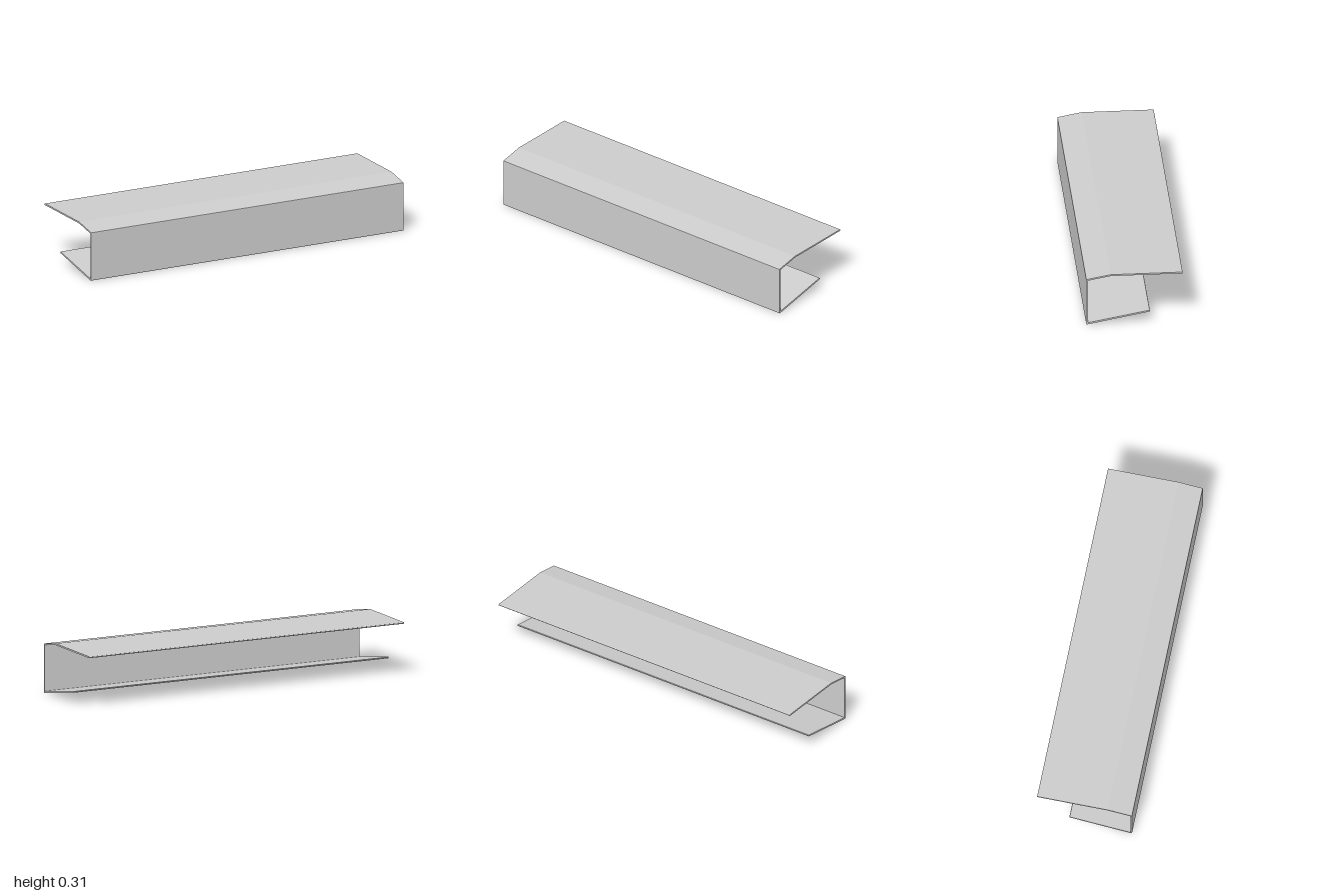
import * as THREE from 'three';

// Cross-section of the bent sheet as [z, y], running round the outside then the inside
const profile = [
  // top flange, outer face and sloped shoulder
  [-0.268, 0.309], [0.134, 0.309], [0.268, 0.284],
  // rounded fold into the front web
  [0.271, 0.282], [0.272, 0.279], [0.272, 0.005], [0.270, 0.001], [0.267, 0.0],
  // underside of the bottom flange and its rounded lip
  [-0.084, 0.067], [-0.087, 0.069], [-0.087, 0.074], [-0.085, 0.076],
  // inner faces: bottom flange, web, shoulder, top flange
  [0.263, 0.011], [0.263, 0.276], [0.134, 0.300], [-0.268, 0.300],
  // rounded lip of the top flange
  [-0.271, 0.302], [-0.272, 0.3045], [-0.271, 0.307],
];

export function createModel() {
  const group = new THREE.Group();
  group.name = 'bentSheetChannel';

  const length = 2;
  const shape = new THREE.Shape(profile.map(([z, y]) => new THREE.Vector2(-z, y)));
  const geometry = new THREE.ExtrudeGeometry(shape, { depth: length, bevelEnabled: false });
  geometry.translate(0, 0, -length / 2);
  geometry.rotateY(Math.PI / 2); // run the extrusion along x

  const material = new THREE.MeshStandardMaterial({ color: 0xcccccc });
  const channel = new THREE.Mesh(geometry, material);
  channel.name = 'foldedSheet';
  group.add(channel);
  return group;
}
